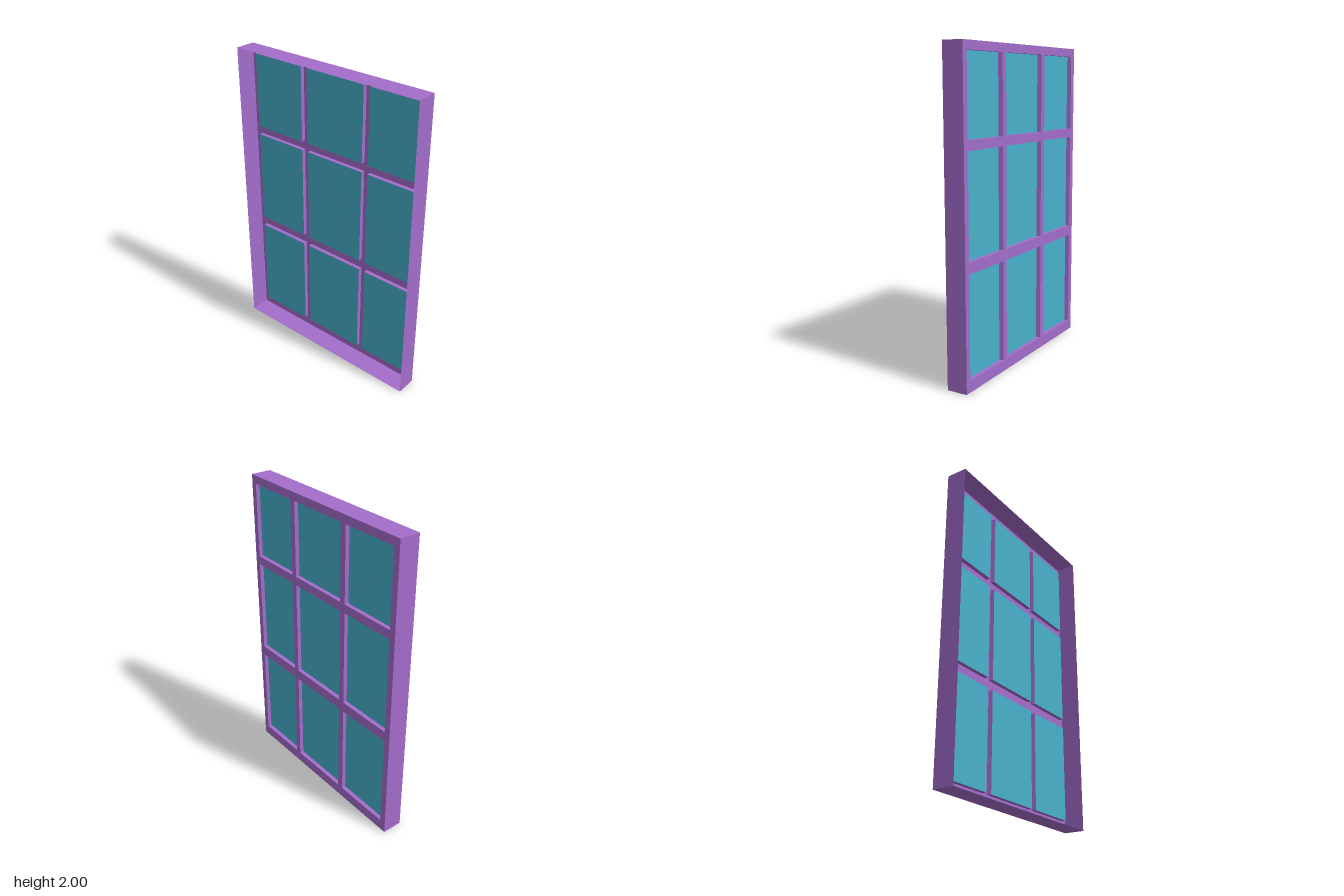
import * as THREE from 'three';

const HALF_X = 0.067, HALF_Z = 0.675, HEIGHT = 2;
const RECESS = 0.027, TAPER = 0.006;

// Openings as [start, end]; u runs from the front edge (+z) to the back edge (-z)
const COLUMNS = [[-0.637, -0.268], [-0.229, 0.205], [0.247, 0.632]];
const ROWS = [[0.071, 0.704], [0.772, 1.402], [1.46, 1.947]];

const purple = new THREE.MeshStandardMaterial({ color: 0xa36dcb, side: THREE.DoubleSide });
const blue = new THREE.MeshStandardMaterial({ color: 0x49b1cb, side: THREE.DoubleSide });

const rectangle = (u0, u1, v0, v1) => [[u0, v0], [u1, v0], [u1, v1], [u0, v1]].map(p => new THREE.Vector2(...p));

// Four flat walls joining one rectangle at depth wa to another at depth wb
function walls(a, wa, b, wb) {
  const positions = [];
  for (let i = 0; i < 4; i++) {
    const j = (i + 1) % 4;
    const corners = [[a[i], wa], [a[j], wa], [b[j], wb], [a[i], wa], [b[j], wb], [b[i], wb]];
    for (const [p, w] of corners) positions.push(p.x, p.y, w);
  }
  const geometry = new THREE.BufferGeometry();
  geometry.setAttribute('position', new THREE.Float32BufferAttribute(positions, 3));
  geometry.computeVertexNormals();
  return geometry;
}

export function createModel() {
  const group = new THREE.Group();
  group.name = 'window';

  // Turns the drawing plane so that it faces +x
  const add = (name, geometry, material) => {
    const mesh = new THREE.Mesh(geometry.rotateY(Math.PI / 2), material);
    mesh.name = name;
    group.add(mesh);
  };

  // Outer walls, open at the back
  const outline = rectangle(-HALF_Z, HALF_Z, 0, HEIGHT);
  add('outerFrame', walls(outline, -HALF_X, outline, HALF_X), purple);

  // Recessed panes with their reveals
  const face = new THREE.Shape(outline);
  for (const [u0, u1] of COLUMNS) {
    for (const [v0, v1] of ROWS) {
      const opening = rectangle(u0, u1, v0, v1);
      const inner = rectangle(u0, u1 - TAPER, v0, v1);
      face.holes.push(new THREE.Path(opening));
      add('reveal', walls(opening, HALF_X, inner, HALF_X - RECESS), purple);
      add('pane', new THREE.ShapeGeometry(new THREE.Shape(inner)).translate(0, 0, HALF_X - RECESS), blue);
    }
  }

  // Grid of rails and mullions
  add('grille', new THREE.ShapeGeometry(face).translate(0, 0, HALF_X), purple);
  return group;
}
